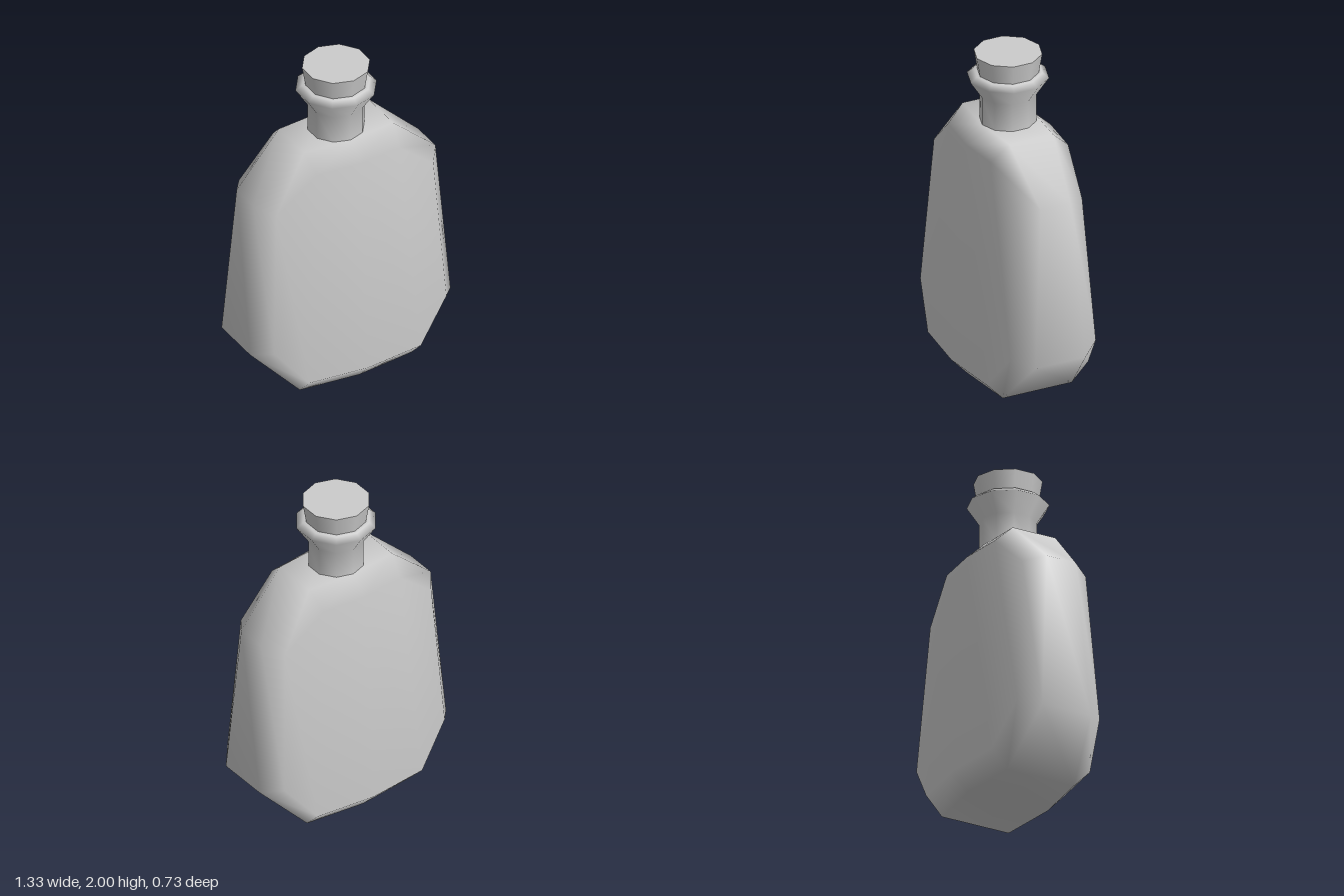
import * as THREE from 'three';

// Right half of the outline, top centre to bottom centre.
// RIM: edge of the narrow side band; FACE: edge of the broad panel. Each is [x, y, z].
const RIM = [[0, 1.57, 0.165], [0.295, 1.57, 0.14], [0.602, 1.28, 0.095], [0.663, 0.31, 0.16], [0.37, 0, 0.22], [0, 0, 0.26]];
const FACE = [[0, 1.47, 0.273], [0.27, 1.47, 0.247], [0.52, 1.25, 0.21], [0.57, 0.35, 0.272], [0.37, 0.11, 0.325], [0, 0.11, 0.363]];

// Mirror a half outline into a closed ring of ten points
function ring(half, side) {
  const left = half.slice(1, -1).reverse().map(([x, y, z]) => [-x, y, z]);
  return [...half, ...left].map(([x, y, z]) => [x, y, z * side]);
}

function bodyGeometry() {
  const rings = [ring(FACE, 1), ring(RIM, 1), ring(RIM, -1), ring(FACE, -1)];
  const n = rings[0].length;
  const index = [];
  const quad = (a, b, c, d) => index.push(a, b, c, a, c, d);

  // Bevel, side band, bevel
  for (let r = 0; r < 3; r++) {
    for (let i = 0; i < n; i++) {
      const j = (i + 1) % n;
      quad(r * n + i, r * n + j, (r + 1) * n + j, (r + 1) * n + i);
    }
  }
  // Front and back panels, in four vertical strips each
  const strips = [[0, 5, 4, 1], [1, 4, 3, 2], [9, 6, 5, 0], [8, 7, 6, 9]];
  const o = 3 * n;
  for (const [a, b, c, d] of strips) {
    quad(a, b, c, d);
    quad(o + d, o + c, o + b, o + a);
  }

  const geometry = new THREE.BufferGeometry();
  geometry.setAttribute('position', new THREE.Float32BufferAttribute(rings.flat(2), 3));
  geometry.setIndex(index);
  geometry.computeVertexNormals();
  return geometry;
}

export function createModel() {
  const group = new THREE.Group();
  group.name = 'bottle';
  const material = new THREE.MeshStandardMaterial({ color: 0xcccccc });
  const add = (name, geometry, mat = material) => {
    const mesh = new THREE.Mesh(geometry, mat);
    mesh.name = name;
    group.add(mesh);
    return mesh;
  };

  add('body', bodyGeometry());

  // Ten-sided neck with a flared lip
  const profile = [[0.165, 1.565], [0.165, 1.74], [0.237, 1.85], [0.2, 1.88], [0.17, 1.88]];
  const neckMaterial = material.clone();
  neckMaterial.side = THREE.DoubleSide;
  add('neck', new THREE.LatheGeometry(profile.map(([r, y]) => new THREE.Vector2(r, y)), 10), neckMaterial);

  // Tapered stopper
  add('stopper', new THREE.CylinderGeometry(0.198, 0.175, 0.14, 10)).position.y = 1.93;

  return group;
}
